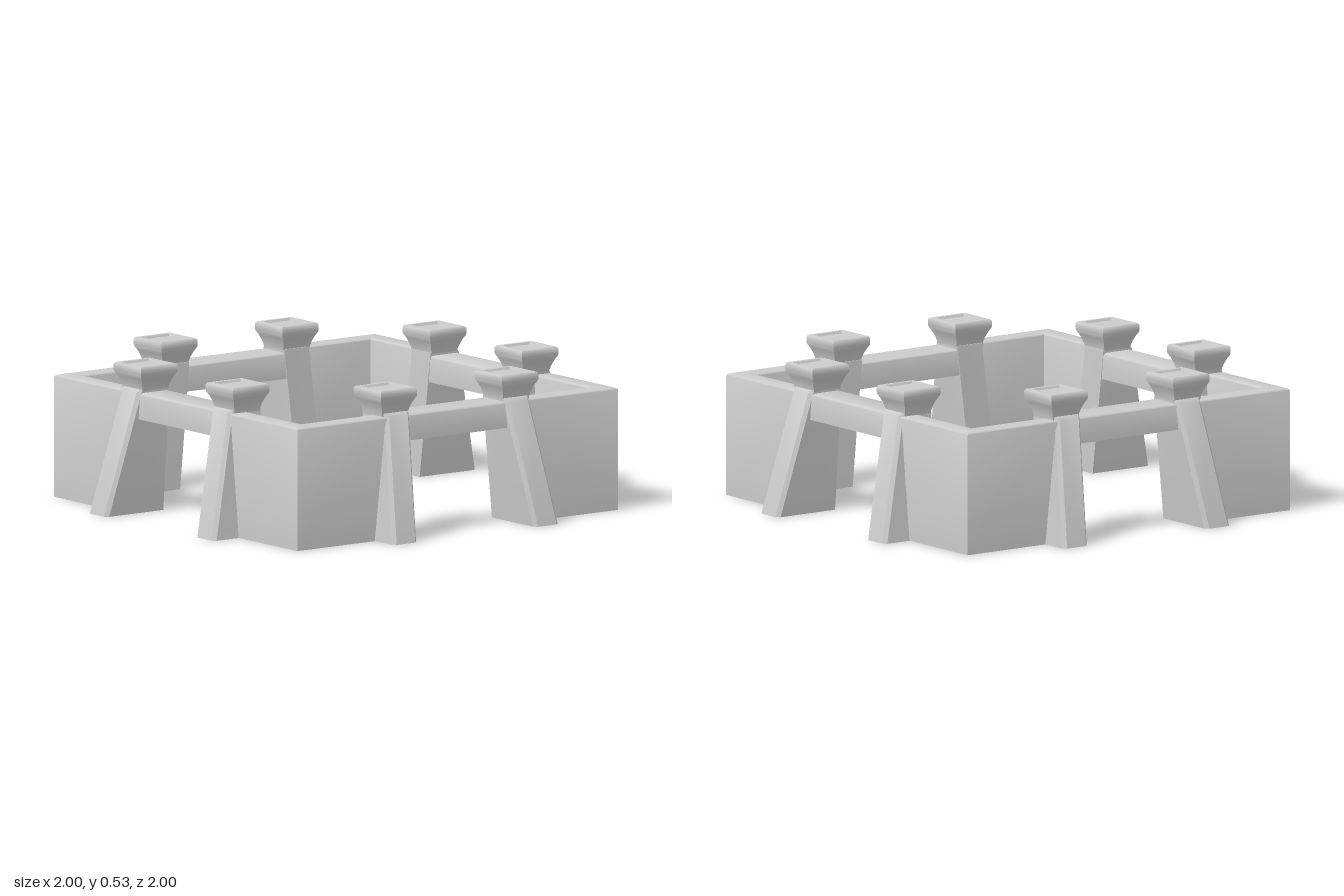
import * as THREE from 'three';
import { toCreasedNormals } from 'three/addons/utils/BufferGeometryUtils.js';

const material = new THREE.MeshStandardMaterial({ color: 0xcccccc, side: THREE.DoubleSide });

// Skin a list of rings of [x, y, z] points; mirror = -1 reflects the result in x.
function loft(name, rings, { closed = true, endCap = false, mirror = 1 } = {}) {
  const pos = [];
  const tri = (a, b, c) => {
    for (const p of mirror > 0 ? [a, b, c] : [a, c, b]) pos.push(p[0] * mirror, p[1], p[2]);
  };
  const n = rings[0].length;
  for (let i = 0; i < rings.length - 1; i++) {
    const [a, b] = [rings[i], rings[i + 1]];
    for (let j = 0; j < (closed ? n : n - 1); j++) {
      const k = (j + 1) % n;
      tri(a[j], a[k], b[k]);
      tri(a[j], b[k], b[j]);
    }
  }
  if (endCap) {
    const top = rings[rings.length - 1];
    for (let j = 1; j < n - 1; j++) tri(top[0], top[j], top[j + 1]);
  }
  const geometry = new THREE.BufferGeometry();
  geometry.setAttribute('position', new THREE.Float32BufferAttribute(pos, 3));
  const mesh = new THREE.Mesh(toCreasedNormals(geometry, 0.7), material);
  mesh.name = name;
  return mesh;
}

// Wall section [z, y] from inner foot over a rounded top to outer foot.
function section(inner, outer, bottom, top, r) {
  const pts = [[inner, bottom]];
  const arc = (cz, from) => {
    for (let i = 0; i <= 4; i++) {
      const a = from - (i / 4) * Math.PI / 2;
      pts.push([cz + r * Math.cos(a), top - r + r * Math.sin(a)]);
    }
  };
  arc(inner + r, Math.PI);
  arc(outer - r, Math.PI / 2);
  pts.push([outer, bottom]);
  return pts;
}

// Half a wall, running from a pillar to the mitred corner, open underneath.
function wall(mirror) {
  const p = section(0.631, 0.707, 0, 0.436, 0.012);
  return loft('wall', [p.map(([z, y]) => [0.285, y, z]), p.map(([z, y]) => [z, y, z])],
    { closed: false, mirror });
}

// Beam spanning the opening between two pillars.
function lintel() {
  const p = section(0.576, 0.703, 0.342, 0.436, 0.014);
  return loft('lintel', [-0.24, 0.24].map(x => p.map(([z, y]) => [x, y, z])));
}

// Leaning buttress with chamfered outer edges and a flared, recessed cap.
function pillar(mirror) {
  const group = new THREE.Group();
  group.name = 'pillar';
  const ring = (y, x, inner, outer, h = 0.054, c = 0.013) => [
    [x + h, y, outer - c], [x + h, y, inner], [x - h, y, inner],
    [x - h, y, outer - c], [x - h + c, y, outer], [x + h - c, y, outer],
  ];
  group.add(loft('shaft', [
    ring(0, 0.312, 0.565, 0.817),
    ring(0.435, 0.264, 0.575, 0.711),
    ring(0.447, 0.264, 0.576, 0.698, 0.054, 0.006),
  ], { endCap: true, mirror }));

  const square = ([h, y]) => [[1, 1], [1, -1], [-1, -1], [-1, 1]]
    .map(([x, z]) => [0.267 + x * h, y, 0.637 + z * h]);
  const profile = [[0.056, 0.435], [0.058, 0.45], [0.063, 0.467], [0.071, 0.486], [0.079, 0.5],
    [0.08, 0.506], [0.08, 0.525], [0.075, 0.531], [0.061, 0.531], [0.057, 0.523]];
  group.add(loft('cap', profile.map(square), { endCap: true, mirror }));
  return group;
}

export function createModel() {
  const model = new THREE.Group();
  model.name = 'squareRampart';
  // Four identical sides set diagonally
  for (let i = 0; i < 4; i++) {
    const side = new THREE.Group();
    side.name = 'rampartSide';
    side.add(lintel());
    for (const s of [-1, 1]) side.add(wall(s), pillar(s));
    side.rotation.y = Math.PI / 4 + (i * Math.PI) / 2;
    model.add(side);
  }
  return model;
}
